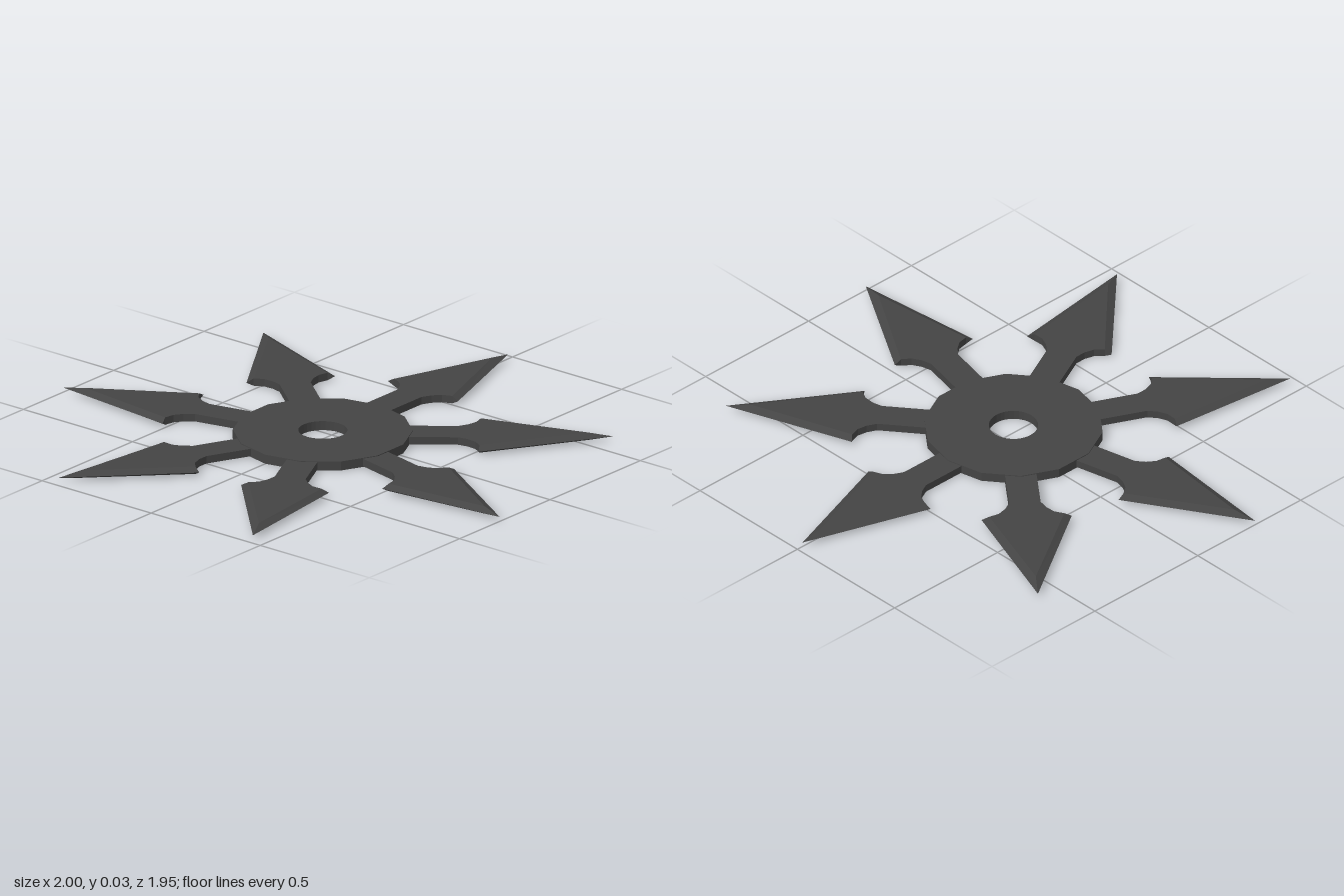
import * as THREE from 'three';

const ARMS = 7;
const HUB_RADIUS = 0.318, HUB_HEIGHT = 0.034;
const HALF = 0.014; // half thickness of an arm
const CENTRE_Z = 0.05;

const metal = new THREE.MeshStandardMaterial({ color: 0x444444, flatShading: true });

// Fourteen-sided disc with a round hole
function hubGeometry() {
  const shape = new THREE.Shape();
  const sides = ARMS * 2;
  for (let i = 0; i < sides; i++) {
    const a = Math.PI / 2 + (i / sides) * Math.PI * 2;
    const x = HUB_RADIUS * Math.cos(a), y = HUB_RADIUS * Math.sin(a);
    if (i) shape.lineTo(x, y);
    else shape.moveTo(x, y);
  }
  shape.closePath();
  const hole = new THREE.Path();
  hole.absarc(0, 0, 0.087, 0, Math.PI * 2, true);
  shape.holes.push(hole);
  const g = new THREE.ExtrudeGeometry(shape, { depth: HUB_HEIGHT, bevelEnabled: false, curveSegments: 16 });
  return g.rotateX(-Math.PI / 2).translate(0, -HUB_HEIGHT / 2, 0);
}

// Arm pointing to -z: one quarter is modelled, then mirrored in x and y
function armGeometry() {
  const positions = [];
  const tri = (...corners) => {
    for (const sx of [1, -1]) {
      for (const sy of [1, -1]) {
        const order = sx * sy > 0 ? [0, 1, 2] : [0, 2, 1];
        for (const i of order) {
          const [x, y, r] = corners[i];
          positions.push(sx * x, sy * y, -r);
        }
      }
    }
  };
  const quad = (a, b, c, d) => { tri(a, b, c); tri(a, c, d); };

  // Half outline [x, distance from centre]: stem, curved notch, head
  const outline = [[0.056, 0.25], [0.056, 0.478], [0.073, 0.513], [0.098, 0.541], [0.133, 0.556]];
  for (let i = 0; i < outline.length - 1; i++) {
    const [x0, r0] = outline[i], [x1, r1] = outline[i + 1];
    quad([0, HALF, r0], [x0, HALF, r0], [x1, HALF, r1], [0, HALF, r1]); // flat face
    quad([x0, 0, r0], [x1, 0, r1], [x1, HALF, r1], [x0, HALF, r0]); // side wall
  }

  // Head: flat face, sharpened edge and back of the barb
  const [bx, br] = outline[outline.length - 1];
  const shoulder = [bx, HALF, br], faceTip = [0, HALF, 0.938];
  const barb = [0.16, 0, 0.553], tip = [0, 0, 1.0257];
  tri([0, HALF, br], shoulder, faceTip);
  quad(barb, tip, faceTip, shoulder);
  tri([bx, 0, br], barb, shoulder);

  const g = new THREE.BufferGeometry();
  g.setAttribute('position', new THREE.Float32BufferAttribute(positions, 3));
  g.computeVertexNormals();
  return g;
}

export function createModel() {
  const model = new THREE.Group();
  model.name = 'throwingStar';

  const hub = new THREE.Mesh(hubGeometry(), metal);
  hub.name = 'hub';
  model.add(hub);

  const armShape = armGeometry();
  for (let i = 0; i < ARMS; i++) {
    const arm = new THREE.Mesh(armShape, metal);
    arm.name = `arm${i + 1}`;
    arm.rotation.y = (i / ARMS) * Math.PI * 2;
    model.add(arm);
  }

  model.position.set(0, HUB_HEIGHT / 2, CENTRE_Z);
  return model;
}
